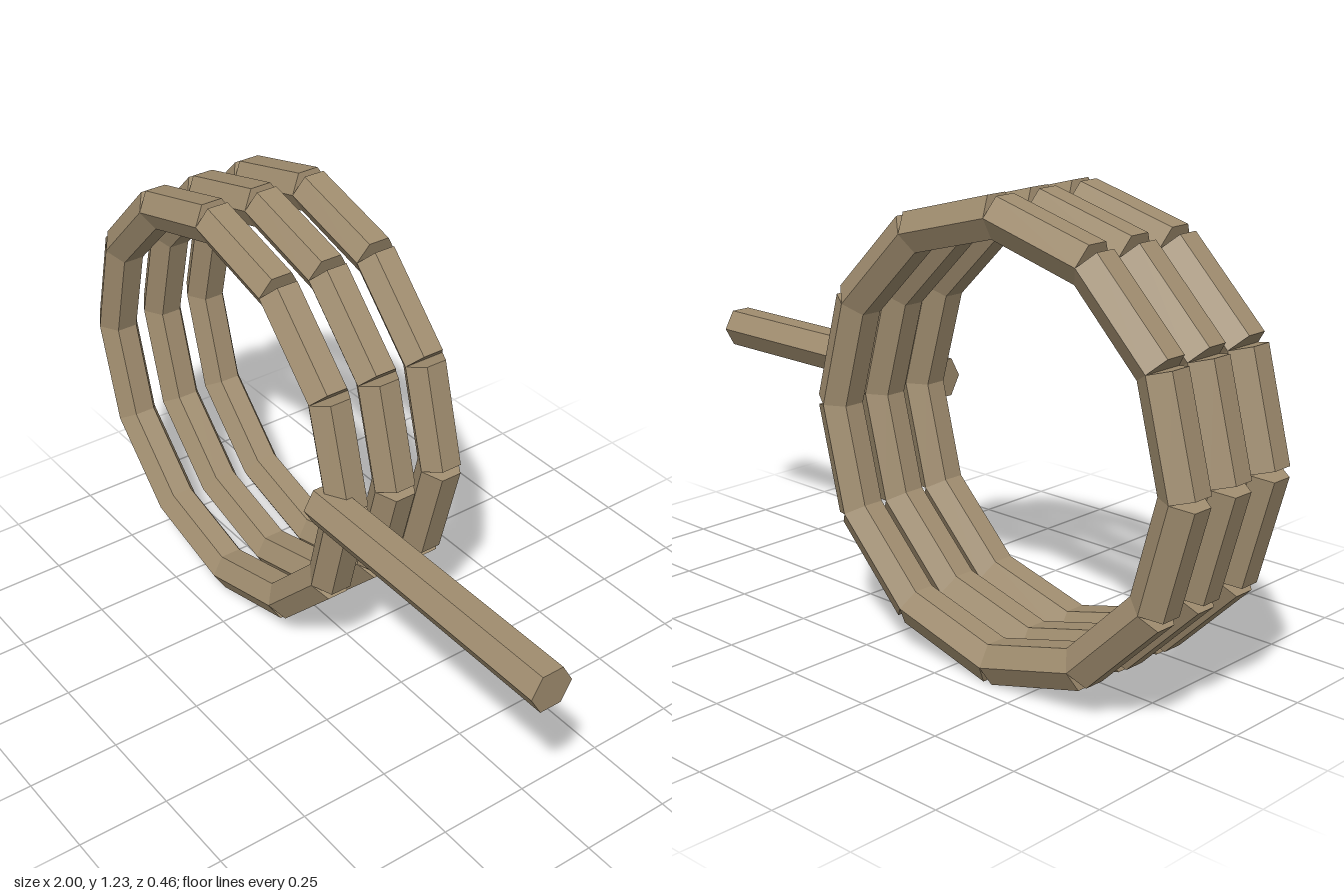
import * as THREE from 'three';

export function createModel() {
  const model = new THREE.Group();
  model.name = 'handledRings';
  const wood = new THREE.MeshStandardMaterial({ color: 0xa08d6f });
  wood.name = 'wood';

  const centreX = -0.387, centreY = 0.614;
  const sides = 12;
  const ringRadius = 0.544;   // centre of the ring to the middle of a bar
  const barRadius = 0.06;
  const barLength = 2 * ringRadius * Math.tan(Math.PI / sides);

  // Six-sided bar along y with two corners pointing along z
  const hexBar = (length) =>
    new THREE.CylinderGeometry(barRadius, barRadius, length, 6).toNonIndexed();
  const flat = (geometry) => {
    geometry.computeVertexNormals();
    return geometry;
  };
  const barGeometry = flat(hexBar(barLength));

  // Three twelve-sided rings, one behind the other
  [['frontRing', 0.13], ['middleRing', -0.02], ['backRing', -0.17]].forEach(([name, z]) => {
    const ring = new THREE.Group();
    ring.name = name;
    ring.position.set(centreX, centreY, z);
    for (let i = 0; i < sides; i++) {
      const angle = ((i + 0.5) / sides) * Math.PI * 2;
      const bar = new THREE.Mesh(barGeometry, wood);
      bar.name = 'ringBar';
      bar.position.set(Math.cos(angle) * ringRadius, Math.sin(angle) * ringRadius, 0);
      bar.rotation.z = angle;
      ring.add(bar);
    }
    model.add(ring);
  });

  // Straight handle on the left of the front ring
  const handle = new THREE.Mesh(flat(hexBar(0.866)), wood);
  handle.name = 'handle';
  handle.rotation.z = -Math.PI / 2;
  handle.position.set(0.567, centreY, 0.173);
  model.add(handle);

  return model;
}
